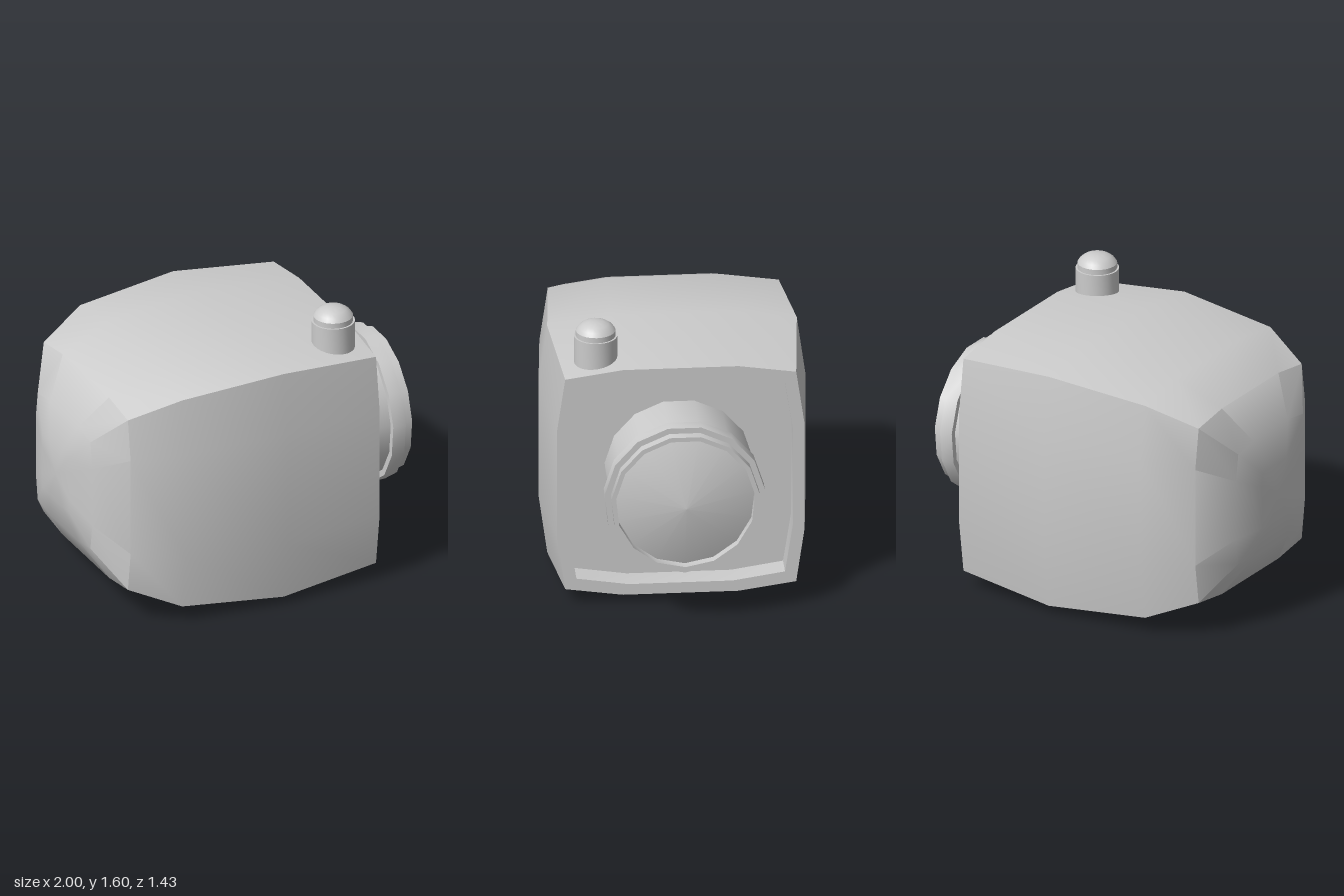
import * as THREE from 'three';
import { toCreasedNormals } from 'three/addons/utils/BufferGeometryUtils.js';

const material = new THREE.MeshStandardMaterial({ color: 0xcccccc });
const CREASE = 0.58;

function addMesh(parent, name, geometry) {
  const mesh = new THREE.Mesh(toCreasedNormals(geometry, CREASE), material);
  mesh.name = name;
  parent.add(mesh);
  return mesh;
}

// Twelve-point bulged square in the yz plane: side half-width h, corner c, inner points m
function bulgedSquare([x, h, c, m]) {
  const points = [];
  for (let k = 0; k < 4; k++) {
    for (const [u, v] of [[c, -c], [h, -m], [h, m]]) {
      const y = [u, -v, -u, v][k];
      const z = [v, u, -v, -u][k];
      points.push([x, y, z]);
    }
  }
  return points;
}

// Skin a row of sections running along x and close both ends
function loft(sections) {
  const rings = sections.map(bulgedSquare);
  const n = rings[0].length;
  const last = rings.length - 1;
  const positions = rings.flat(2);
  const index = [];
  for (let i = 0; i < last; i++) {
    for (let j = 0; j < n; j++) {
      const k = (j + 1) % n;
      const a = i * n + j, b = i * n + k;
      index.push(a, b, b + n, a, b + n, a + n);
    }
  }
  const back = rings.length * n, front = back + 1;
  positions.push(sections[0][0], 0, 0, sections[last][0], 0, 0);
  for (let j = 0; j < n; j++) {
    const k = (j + 1) % n;
    index.push(back, k, j, front, last * n + j, last * n + k);
  }
  const geometry = new THREE.BufferGeometry();
  geometry.setAttribute('position', new THREE.Float32BufferAttribute(positions, 3));
  geometry.setIndex(index);
  return geometry;
}

function lathe(profile, sides, start = 0) {
  return new THREE.LatheGeometry(profile.map(([r, y]) => new THREE.Vector2(r, y)), sides, start);
}

export function createModel() {
  const model = new THREE.Group();
  model.name = 'camera';

  // Bulging housing, ending in a rim and a recessed panel
  const housing = addMesh(model, 'housing', loft([
    [-1.0, 0.165, 0.16, 0.08],
    [-0.95, 0.342, 0.32, 0.17],
    [-0.82, 0.543, 0.51, 0.28],
    [-0.55, 0.665, 0.62, 0.31],
    [0.03, 0.717, 0.67, 0.33],
    [0.605, 0.665, 0.62, 0.31],
    [0.605, 0.603, 0.56, 0.28],
    [0.47, 0.603, 0.56, 0.28],
  ]));
  housing.position.y = 0.725;

  // Lens barrel with a raised ring and a shallow conical glass, all facing +x
  const lens = new THREE.Group();
  lens.name = 'lens';
  lens.position.y = 0.74;
  const parts = {
    lensBarrel: [[0.4, 0.46], [0.4, 0.93], [0.375, 0.93], [0.375, 0.88]],
    lensRing: [[0.39, 0.802], [0.432, 0.802], [0.432, 0.877], [0.39, 0.877]],
    lensGlass: [[0.375, 0.88], [0, 1.0]],
  };
  for (const [name, profile] of Object.entries(parts)) {
    addMesh(lens, name, lathe(profile, 15, Math.PI / 2).rotateZ(-Math.PI / 2));
  }
  model.add(lens);

  // Shutter button: collar and domed cap
  const button = new THREE.Group();
  button.name = 'button';
  button.position.set(0.437, 0, 0.443);
  addMesh(button, 'buttonCollar', lathe([[0.117, 1.3], [0.117, 1.525], [0, 1.525]], 24));
  addMesh(button, 'buttonCap', lathe(
    [[0.107, 1.5], [0.107, 1.555], [0.093, 1.576], [0.07, 1.593], [0.04, 1.605], [0, 1.607]], 24));
  model.add(button);

  return model;
}
